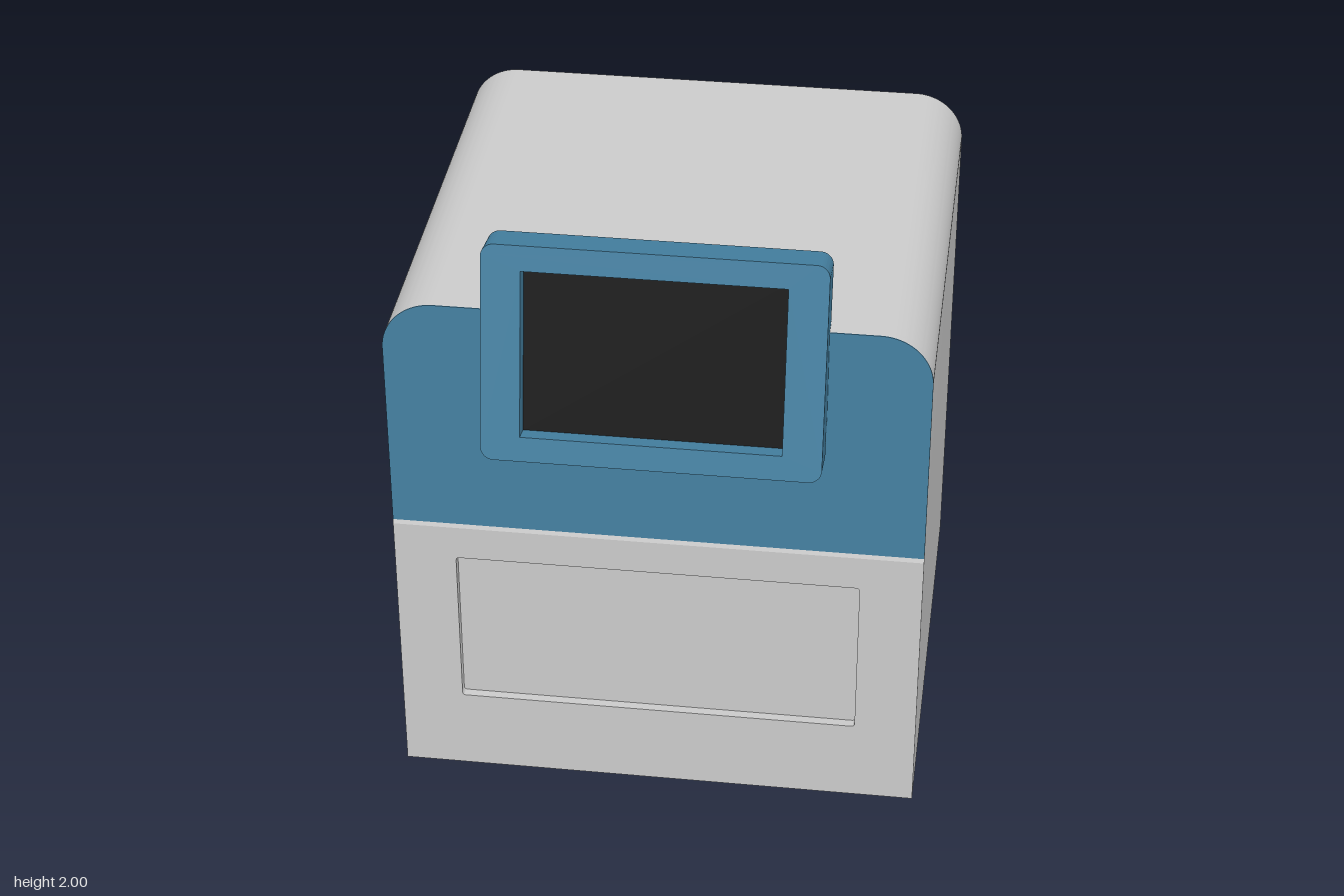
import * as THREE from 'three';
import { toCreasedNormals } from 'three/addons/utils/BufferGeometryUtils.js';

const grey = new THREE.MeshStandardMaterial({ color: 0xcccccc });
const blue = new THREE.MeshStandardMaterial({ color: 0x4581a2 });
const black = new THREE.MeshStandardMaterial({ color: 0x141414 });

const HALF_W = 0.83, HEIGHT = 1.757, CORNER = 0.16;
const BACK = -0.838, RECESS = 0.655, FRONT = 0.685;

// Trace a rectangle whose top and bottom corners have separate radii
function roundedRect(path, x0, y0, x1, y1, rTop, rBottom = rTop) {
  path.moveTo(x0 + rBottom, y0);
  path.lineTo(x1 - rBottom, y0);
  if (rBottom) path.absarc(x1 - rBottom, y0 + rBottom, rBottom, -Math.PI / 2, 0);
  path.lineTo(x1, y1 - rTop);
  if (rTop) path.absarc(x1 - rTop, y1 - rTop, rTop, 0, Math.PI / 2);
  path.lineTo(x0 + rTop, y1);
  if (rTop) path.absarc(x0 + rTop, y1 - rTop, rTop, Math.PI / 2, Math.PI);
  path.lineTo(x0, y0 + rBottom);
  if (rBottom) path.absarc(x0 + rBottom, y0 + rBottom, rBottom, Math.PI, Math.PI * 1.5);
  return path;
}

// Extrude a shape between two z values
function slab(name, shape, z0, z1, material) {
  const geometry = new THREE.ExtrudeGeometry(shape, {
    depth: z1 - z0, bevelEnabled: false, curveSegments: 16,
  });
  geometry.translate(0, 0, z0);
  const mesh = new THREE.Mesh(toCreasedNormals(geometry, 0.5), material);
  mesh.name = name;
  return mesh;
}

// Casing profile from a given height up to the rounded top
const casing = (y0) =>
  roundedRect(new THREE.Shape(), -HALF_W, y0, HALF_W, HEIGHT, CORNER, 0);

function createDisplay() {
  const display = new THREE.Group();
  display.name = 'display';
  const w = 0.515, h = 0.345;
  const outline = () => roundedRect(new THREE.Shape(), -w, -h, w, h, 0.04);

  // Rear half of the housing, then a frame around the sunken screen
  display.add(slab('displayBack', outline(), -0.06, 0, blue));
  const frame = outline();
  frame.holes.push(roundedRect(new THREE.Path(), -0.395, -0.265, 0.395, 0.265, 0));
  display.add(slab('displayFrame', frame, 0, 0.06, blue));

  const screen = new THREE.Mesh(new THREE.PlaneGeometry(0.79, 0.53), black);
  screen.name = 'screen';
  screen.position.z = 0.002;
  display.add(screen);

  display.position.set(0.003, 1.65, 0.7145);
  display.rotation.x = -THREE.MathUtils.degToRad(10.8);
  return display;
}

export function createModel() {
  const model = new THREE.Group();
  model.name = 'desktopMachine';

  // Main casing
  model.add(slab('casing', casing(0), BACK, RECESS, grey));
  model.add(slab('upperCasing', casing(0.945), RECESS, 0.68, grey));

  // Coloured upper face
  model.add(slab('upperPanel', casing(0.96), 0.68, 0.683, blue));

  // Lower face with a shallow rectangular recess
  const lower = roundedRect(new THREE.Shape(), -HALF_W, 0, HALF_W, 0.945, 0);
  lower.holes.push(roundedRect(new THREE.Path(), -0.635, 0.28, 0.635, 0.83, 0.01));
  model.add(slab('lowerPanel', lower, RECESS, FRONT, grey));

  // Small chamfer along the top of the lower face
  const wedge = new THREE.Shape([
    new THREE.Vector2(-FRONT, 0.945),
    new THREE.Vector2(-0.68, 0.945),
    new THREE.Vector2(-0.68, 0.96),
  ]);
  const chamfer = slab('panelChamfer', wedge, -HALF_W, HALF_W, grey);
  chamfer.rotation.y = Math.PI / 2;
  model.add(chamfer);

  model.add(createDisplay());
  return model;
}
